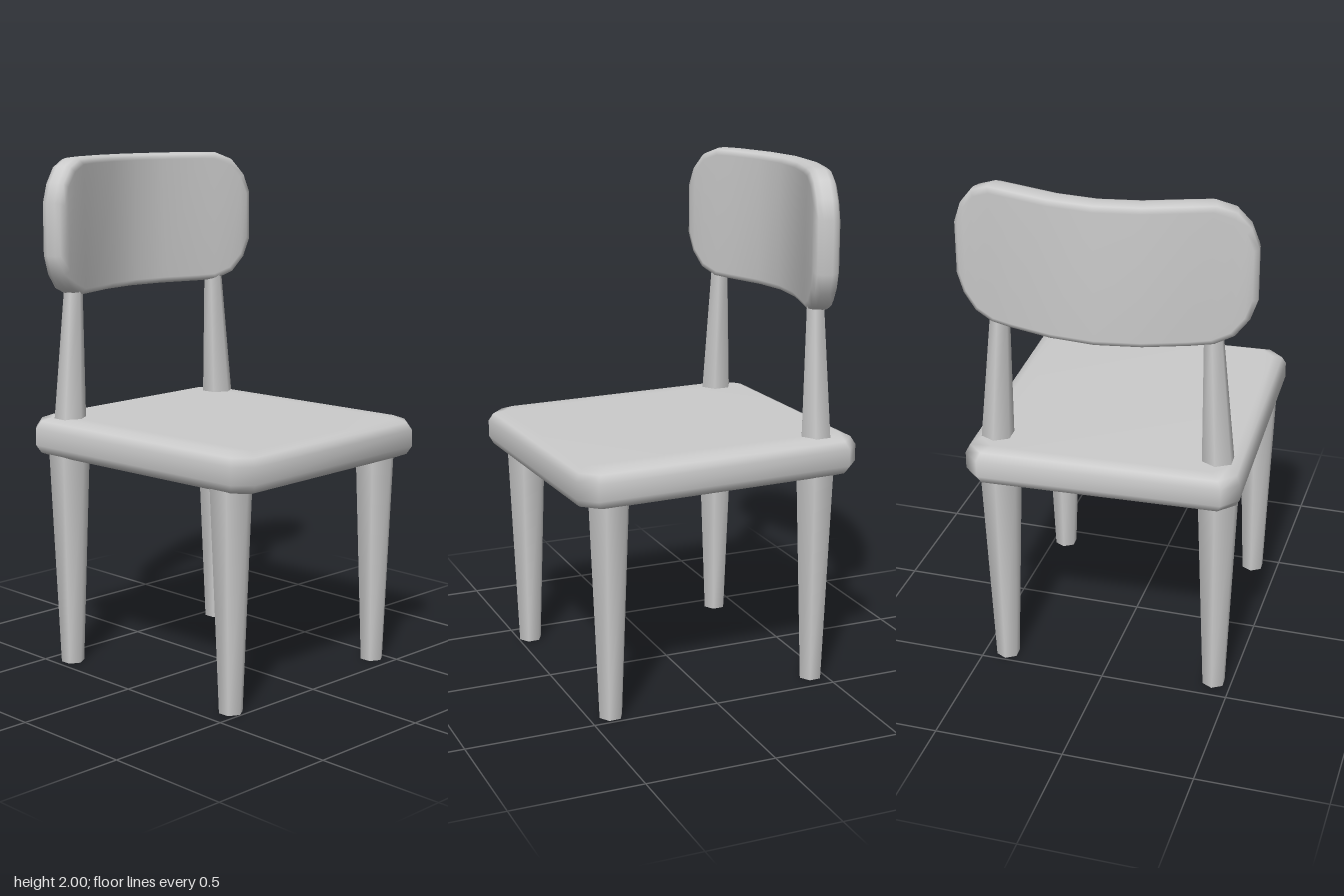
import * as THREE from 'three';

// Double-sided because the seat and legs are open underneath
const material = new THREE.MeshStandardMaterial({ color: 0xcccccc, side: THREE.DoubleSide });

// Soft-edged slab. The outline is symmetric: column xs[i] spans -hs[i]..hs[i].
// profile lists [inset, depth] rings from back to front; place maps (x, v, d) to a point.
function slab(xs, hs, profile, place, closedBack) {
  const n = xs.length, m = 2 * n;
  const w = Math.max(...xs), h = Math.max(...hs);
  const pos = [], index = [];
  const quad = (a, b, c, d) => index.push(a, b, c, a, c, d);
  for (const [inset, d] of profile) {
    const sx = (w - inset) / w, sv = (h - inset) / h;
    for (let j = 0; j < m; j++) {
      const i = j < n ? n - 1 - j : j - n;
      pos.push(...place(xs[i] * sx, (j < n ? hs[i] : -hs[i]) * sv, d));
    }
  }
  // rim
  for (let r = 0; r < profile.length - 1; r++) {
    for (let j = 0; j < m; j++) {
      const a = r * m + j, b = r * m + (j + 1) % m;
      quad(a, b, b + m, a + m);
    }
  }
  // faces, as strips between upper and lower outline
  const last = (profile.length - 1) * m;
  for (let i = 0; i < n - 1; i++) {
    const low = n + i, top = n - 1 - i;
    quad(last + low, last + low + 1, last + top - 1, last + top);
    if (closedBack) quad(top, top - 1, low + 1, low);
  }
  const g = new THREE.BufferGeometry();
  g.setAttribute('position', new THREE.Float32BufferAttribute(pos, 3));
  g.setIndex(index);
  g.computeVertexNormals();
  return g;
}

export function createModel() {
  const chair = new THREE.Group();
  chair.name = 'chair';
  const add = (name, geometry, x = 0, y = 0, z = 0) => {
    const mesh = new THREE.Mesh(geometry, material);
    mesh.name = name;
    mesh.position.set(x, y, z);
    chair.add(mesh);
    return mesh;
  };

  // Seat shell with clipped corners and a rounded rim, open underneath
  const W = 0.521, D = 0.577, c = 0.06;
  add('seat', slab(
    [-W, -W + c, W - c, W], [D - c, D, D, D - c],
    [[0.05, 0.84], [0.015, 0.855], [0, 0.885], [0, 0.95], [0.015, 0.98], [0.05, 0.995]],
    (x, v, d) => [x, d, -v], false));

  // Curved backrest: the panel follows a wave, thickened along its normal
  const A = 0.085, k = 4.43;
  const half = [0, 0.16, 0.32, 0.4, 0.47, 0.52, 0.547];
  const heights = [0.265, 0.265, 0.265, 0.263, 0.235, 0.175, 0.1];
  const xs = [...half.slice(1).reverse().map(x => -x), ...half];
  const hs = [...heights.slice(1).reverse(), ...heights];
  add('backrest', slab(xs, hs,
    [[0.025, -0.049], [0.006, -0.038], [0, -0.018], [0, 0.018], [0.006, 0.038], [0.025, 0.049]],
    (x, v, d) => {
      const slope = A * k * Math.sin(k * x), len = Math.hypot(1, slope);
      return [x - d * slope / len, 1.735 + v, -0.532 + A * (1 - Math.cos(k * x)) + d / len];
    }, true), 0.004);

  // Six-sided tapered legs and back posts, as open tubes
  const leg = new THREE.CylinderGeometry(0.081, 0.046, 0.86, 6, 1, true);
  const post = new THREE.CylinderGeometry(0.036, 0.063, 0.53, 6, 1, true);
  for (const s of [1, -1]) {
    const side = s > 0 ? 'left' : 'right';
    add(side + 'FrontLeg', leg, s * 0.42 - 0.006, 0.43, 0.432);
    add(side + 'BackLeg', leg, s * 0.42 - 0.006, 0.43, -0.428);
    add(side + 'BackPost', post, s * 0.408, 1.25, -0.425).rotation.z = s * 0.052;
  }

  // Slight turn of the whole chair
  chair.rotation.y = 0.042;
  chair.position.x = 0.013;
  const model = new THREE.Group();
  model.add(chair);
  return model;
}
